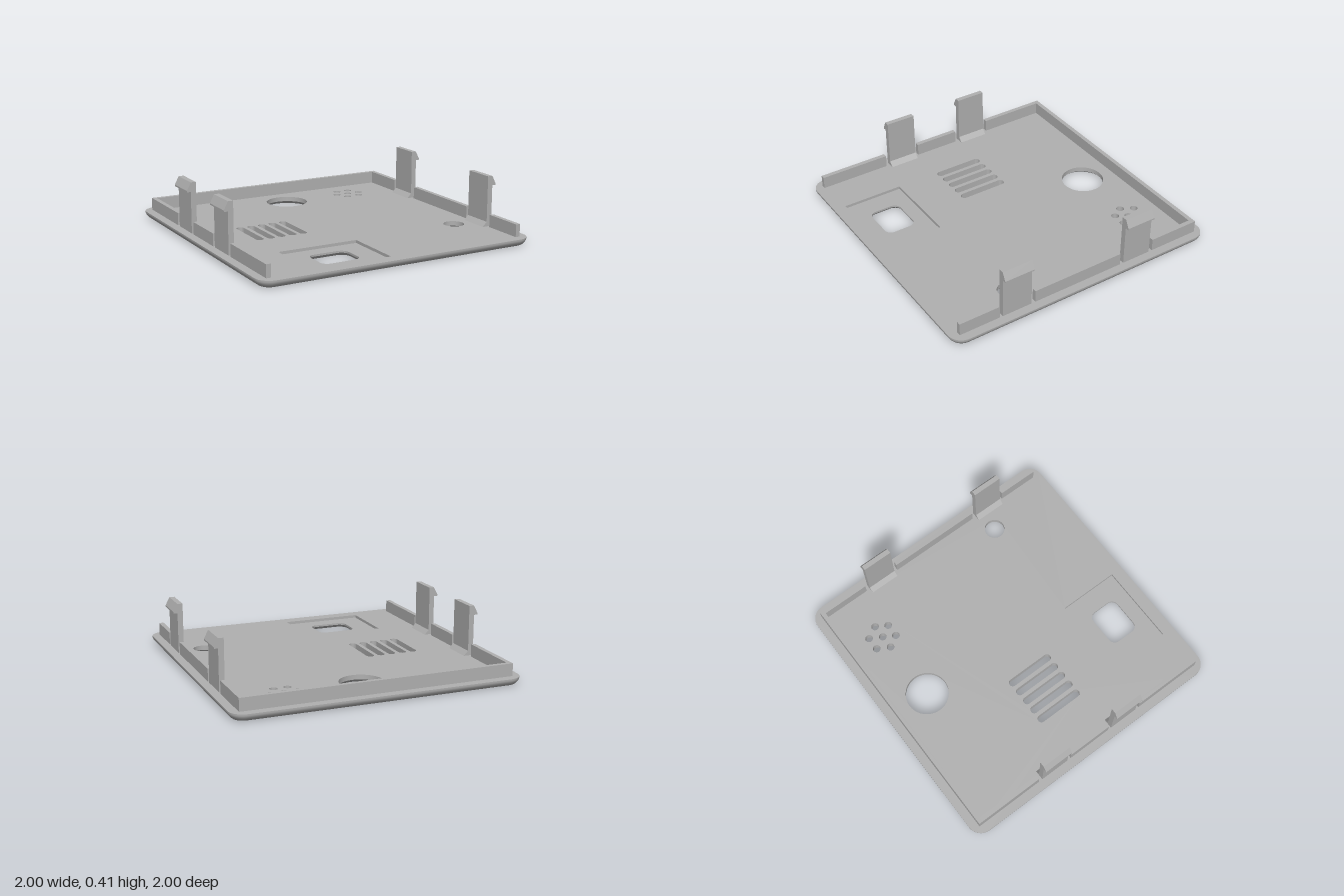
import * as THREE from 'three';
import { toCreasedNormals } from 'three/addons/utils/BufferGeometryUtils.js';

const TOP = 0.053;    // upper surface of the plate
const FLOOR = 0.033;  // floor of the window recess

// Rounded-rectangle outline in x, z (a circle when r equals both half sizes)
function outline({ x, z, w, d, r }, grow = 0, steps = 10) {
  const pts = [];
  const hw = w + grow, hd = d + grow, rad = Math.max(r + grow, 0);
  [[1, 1], [-1, 1], [-1, -1], [1, -1]].forEach(([sx, sz], q) => {
    for (let i = 0; i <= (rad ? steps : 0); i++) {
      const a = (q + i / steps) * Math.PI / 2;
      pts.push(new THREE.Vector2(
        x + sx * (hw - rad) + rad * Math.cos(a),
        z + sz * (hd - rad) + rad * Math.sin(a)));
    }
  });
  return pts;
}

// Flat horizontal face with holes
function face(outer, holes, y, up) {
  const flip = (pts) => pts.map((p) => new THREE.Vector2(p.x, up ? -p.y : p.y));
  const shape = new THREE.Shape(flip(outer));
  shape.holes = holes.map((h) => new THREE.Path(flip(h)));
  return new THREE.ShapeGeometry(shape).rotateX(up ? -Math.PI / 2 : Math.PI / 2).translate(0, y, 0);
}

// Wall through rings [points, y]; rising rings face outward, falling rings inward
function wall(rings) {
  const pos = [];
  for (let k = 0; k + 1 < rings.length; k++) {
    const [a, ya] = rings[k], [b, yb] = rings[k + 1];
    for (let i = 0; i < a.length; i++) {
      const j = (i + 1) % a.length;
      const p = [a[i].x, ya, a[i].y], q = [b[i].x, yb, b[i].y];
      const s = [a[j].x, ya, a[j].y], t = [b[j].x, yb, b[j].y];
      pos.push(...p, ...q, ...s, ...s, ...q, ...t);
    }
  }
  const g = new THREE.BufferGeometry();
  g.setAttribute('position', new THREE.Float32BufferAttribute(pos, 3));
  return toCreasedNormals(g, 0.65);
}

export function createModel() {
  const model = new THREE.Group();
  model.name = 'enclosureCover';
  const grey = new THREE.MeshStandardMaterial({ color: 0xb0b0b0 });
  grey.name = 'grey plastic';
  const add = (name, geo, parent = model) => {
    const m = new THREE.Mesh(geo, grey);
    m.name = name;
    parent.add(m);
    return m;
  };

  // Openings; flare is the widening at the underside
  const round = (name, x, z, r, flare = 0) => ({ name, x, z, w: r, d: r, r, flare });
  const holes = [
    round('largeHole', 0.023, -0.675, 0.15, 0.022),
    round('smallHole', 0.745, 0.455, 0.072, 0.016),
  ];
  for (let i = 0; i < 5; i++) {
    holes.push({ name: 'ventSlot', x: -0.6 + i * 0.0815, z: -0.003, w: 0.027, d: 0.178, r: 0.027, flare: 0 });
  }
  [[-0.765, 2], [-0.68, 3], [-0.6, 2]].forEach(([z, n]) => {
    for (let i = 0; i < n; i++) {
      holes.push(round('soundHole', 0.552 + (i - (n - 1) / 2) * 0.095, z, 0.027));
    }
  });
  const windowHole = { name: 'windowHole', x: -0.341, z: 0.695, w: 0.137, d: 0.11, r: 0.05, flare: 0.018 };
  const recess = { x: -0.342, z: 0.696, w: 0.287, d: 0.216, r: 0 };

  // Plate with rounded lower edge
  const plate = { x: 0, z: 0, w: 1, d: 1, r: 0.1 };
  const edge = [[-0.04, 0], [-0.029, 0.004], [-0.018, 0.012], [-0.008, 0.024], [-0.002, 0.035], [0, 0.043], [0, TOP]];
  add('plateEdge', wall(edge.map(([g, y]) => [outline(plate, g), y])));
  add('plateTop', face(outline(plate), [...holes, recess].map((h) => outline(h)), TOP, true));
  add('plateUnderside', face(outline(plate, -0.04),
    [...holes, windowHole].map((h) => outline(h, h.flare)), 0, false));

  // Walls of the openings
  [...holes, windowHole].forEach((h) => {
    const y = h === windowHole ? FLOOR : TOP;
    const rings = [[outline(h), y]];
    if (h.flare) rings.push([outline(h), 0.02]);
    rings.push([outline(h, h.flare), 0]);
    add(h.name, wall(rings));
  });

  // Shallow recess around the window
  add('recessWall', wall([[outline(recess), TOP], [outline(recess), FLOOR]]));
  add('recessFloor', face(outline(recess), [outline(windowHole)], FLOOR, true));

  // Raised rim: back wall and broken side walls
  const rim = (name, x0, x1, z0, z1) => add(name,
    new THREE.BoxGeometry(x1 - x0, 0.09, z1 - z0).translate((x0 + x1) / 2, 0.095, (z0 + z1) / 2));
  rim('backRim', -0.94, 0.94, -0.94, -0.91);
  [[-0.91, -0.44], [-0.165, 0.16], [0.43, 0.937]].forEach(([a, b]) => rim('rightRim', -0.94, -0.908, a, b));
  [[-0.91, -0.57], [-0.3, 0.375], [0.645, 0.937]].forEach(([a, b]) => rim('leftRim', 0.908, 0.94, a, b));

  // Snap clips: hooked post with a sloped foot on the inner side
  const profile = [[0.868, 0.05], [0.94, 0.05], [0.94, 0.34], [0.967, 0.34], [0.967, 0.35],
    [0.938, 0.406], [0.902, 0.406], [0.902, 0.086]];
  const clip = (name, side, z0, z1) => {
    const shape = new THREE.Shape(profile.map(([x, y]) => new THREE.Vector2(side * x, y)));
    add(name, new THREE.ExtrudeGeometry(shape, { depth: z1 - z0, bevelEnabled: false }).translate(0, 0, z0));
  };
  [[-0.41, -0.195], [0.187, 0.402]].forEach(([a, b]) => clip('rightClip', -1, a, b));
  [[-0.543, -0.328], [0.405, 0.622]].forEach(([a, b]) => clip('leftClip', 1, a, b));

  return model;
}
